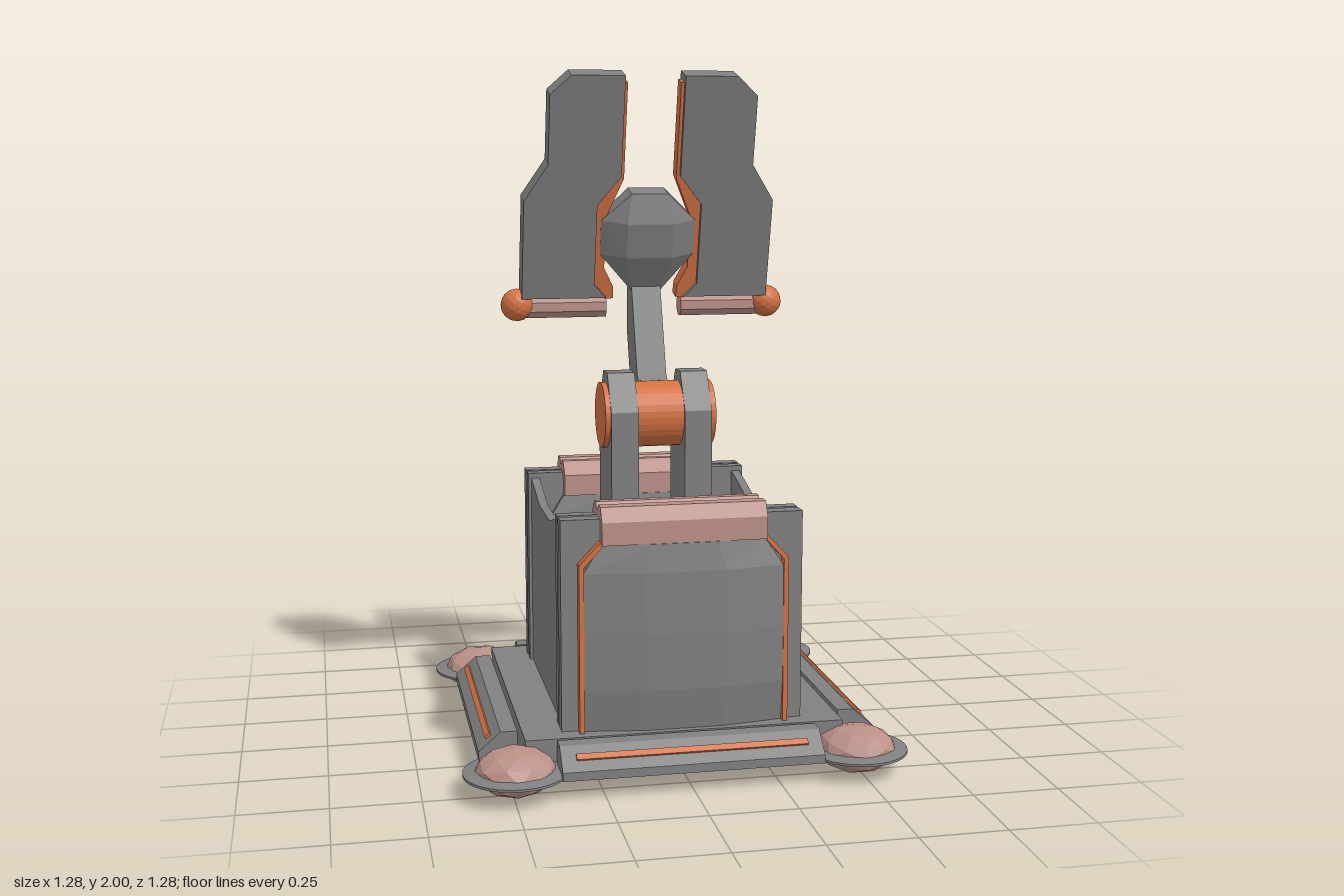
import * as THREE from 'three';
import { ConvexGeometry } from 'three/addons/geometries/ConvexGeometry.js';

const grey = new THREE.MeshStandardMaterial({ color: 0x808080, flatShading: true });
const orange = new THREE.MeshStandardMaterial({ color: 0xd47243, flatShading: true });
const pink = new THREE.MeshStandardMaterial({ color: 0xba9088, flatShading: true });

function add(parent, name, geometry, material, x = 0, y = 0, z = 0) {
  const mesh = new THREE.Mesh(geometry, material);
  mesh.name = name;
  mesh.position.set(x, y, z);
  parent.add(mesh);
  return mesh;
}

function group(parent, name) {
  const g = new THREE.Group();
  g.name = name;
  parent.add(g);
  return g;
}

// Outline in x, y extruded along z, centred on z = 0
function plate(points, depth) {
  const shape = new THREE.Shape(points.map(([x, y]) => new THREE.Vector2(x, y)));
  return new THREE.ExtrudeGeometry(shape, { depth, bevelEnabled: false }).translate(0, 0, -depth / 2);
}

// Outline in z, y extruded along x, centred on x = 0
const sidePlate = (points, width) => plate(points, width).rotateY(-Math.PI / 2);

const box = (w, h, d) => new THREE.BoxGeometry(w, h, d);

// Shield panel bulging on both faces, with narrowed upper corners
function bulgedPanel() {
  const rows = [0.14, 0.26, 0.42, 0.6, 0.68];
  const rowSwell = [0, 0.85, 1, 0.75, 0.15];
  const columns = [-0.288, -0.115, 0.115, 0.288];
  const columnSwell = [0, 1, 1, 0];
  const g = new THREE.BoxGeometry(3, 4, 2, 3, 4, 1);
  const p = g.attributes.position;
  for (let i = 0; i < p.count; i++) {
    const row = Math.round(p.getY(i) + 2);
    const column = Math.round(p.getX(i) + 1.5);
    const depth = 0.058 + 0.02 * rowSwell[row] + 0.027 * columnSwell[column];
    p.setXYZ(i, columns[column] * (row === 4 ? 0.82 : 1), rows[row], Math.sign(p.getZ(i)) * depth);
  }
  return g;
}

function buildBase(model) {
  const base = group(model, 'base');
  add(base, 'basePlate', box(0.92, 0.08, 0.92), grey, 0, 0.1, 0);
  add(base, 'undersidePanel', box(0.85, 0.006, 0.85), grey, 0, 0.059, 0);
  add(base, 'turntable', new THREE.CylinderGeometry(0.225, 0.225, 0.02, 32), grey, 0, 0.15, 0);

  const rail = [[0.472, 0.06], [0.583, 0.06], [0.583, 0.085], [0.52, 0.14], [0.472, 0.14]];
  const rim = [[0, 0.05], [0.1, 0.052], [0.147, 0.061], [0.147, 0.068], [0.1, 0.077], [0, 0.079]]
    .map(([x, y]) => new THREE.Vector2(x, y));
  for (let i = 0; i < 4; i++) {
    const side = group(base, 'baseSide');
    side.rotation.y = i * Math.PI / 2;
    add(side, 'edgeRail', sidePlate(rail, 0.745), grey);
    // Strip lying on the slope of the rail
    add(side, 'railStrip', box(0.66, 0.018, 0.012), orange, 0, 0.115, 0.551).rotation.x = -0.85;
    add(side, 'footRim', new THREE.LatheGeometry(rim, 32), grey, 0.492, 0, 0.492);
    const dome = add(side, 'footDome', new THREE.IcosahedronGeometry(1, 1), pink, 0.492, 0.067, 0.492);
    dome.scale.set(0.116, 0.066, 0.116);
  }
}

function buildHousing(model) {
  const housing = group(model, 'housing');
  const wall = [[-0.31, 0.14], [0.31, 0.14], [0.31, 0.735], [0.2, 0.71], [0.11, 0.686],
    [-0.11, 0.686], [-0.2, 0.71], [-0.31, 0.735]];
  const cap = [[0.44, 0.68], [0.44, 0.745], [0.415, 0.785], [0.375, 0.785], [0.362, 0.768],
    [0.348, 0.768], [0.335, 0.785], [0.31, 0.785], [0.27, 0.745], [0.27, 0.68]];

  for (const s of [1, -1]) add(housing, 'sideWall', sidePlate(wall, 0.026), grey, s * 0.327);

  for (const end of [0, 1]) {
    const face = group(housing, end ? 'backFace' : 'frontFace');
    face.rotation.y = end * Math.PI;
    add(face, 'bulgedPanel', bulgedPanel(), grey, 0, 0, 0.355);
    add(face, 'padCap', sidePlate(cap, 0.475), pink);
    for (const s of [1, -1]) {
      // Grooved corner post
      add(face, 'postOuter', box(0.115, 0.61, 0.045), grey, s * 0.292, 0.445, 0.382);
      add(face, 'postCore', box(0.11, 0.605, 0.03), grey, s * 0.285, 0.4425, 0.35);
      add(face, 'postInner', box(0.115, 0.61, 0.038), grey, s * 0.292, 0.445, 0.325);
      // Coloured border of the panel
      const trim = [[0.302, 0.14], [0.302, 0.625], [0.24, 0.69], [0.232, 0.68], [0.288, 0.618], [0.288, 0.14]];
      add(face, 'panelTrim', plate(trim.map(([x, y]) => [x * s, y]), 0.031), orange, 0, 0, 0.4185);
    }
  }
}

function buildArm(model) {
  const arm = group(model, 'arm');
  const bracket = [[-0.107, 0.15], [0.107, 0.15], [0.107, 1.0], [0.035, 1.11], [-0.035, 1.11], [-0.107, 1.0]];
  for (const s of [1, -1]) add(arm, 'hingeBracket', sidePlate(bracket, 0.082), grey, s * 0.111);

  const pin = new THREE.CylinderGeometry(0.099, 0.099, 0.335, 32).rotateZ(Math.PI / 2);
  add(arm, 'hingePin', pin, orange, 0, 0.98, 0);

  const link = [[0, 0.95], [0, 1.05], [-0.05, 1.09], [-0.145, 1.36], [-0.22, 1.345],
    [-0.218, 1.2], [-0.18, 1.09], [-0.09, 1.03]];
  add(arm, 'bentLink', sidePlate(link, 0.09), grey);
}

function buildHead(model) {
  const head = group(model, 'head');
  head.position.set(0, 1.3, -0.196);
  head.rotation.x = 0.25;

  // Faceted core: rectangular ends and two octagonal rings between them
  const core = [];
  for (const sx of [1, -1]) for (const sz of [1, -1]) {
    for (const [x, y, z] of [[0.045, 0.05, 0.035], [0.145, 0.165, 0.026], [0.07, 0.165, 0.072],
      [0.145, 0.27, 0.026], [0.07, 0.27, 0.07], [0.056, 0.355, 0.036]]) {
      core.push(new THREE.Vector3(sx * x, y, sz * z));
    }
  }
  add(head, 'core', new ConvexGeometry(core), grey);

  const wing = [[0.09, 0.713], [0.25, 0.713], [0.312, 0.655], [0.312, 0.445], [0.382, 0.335], [0.382, 0.028],
    [0.122, 0.028], [0.16, 0.07], [0.16, 0.32], [0.09, 0.41]];
  const trim = [[0.092, 0.69], [0.092, 0.41], [0.162, 0.32], [0.162, 0.068], [0.124, 0.022],
    [0.098, 0.022], [0.1, 0.06], [0.13, 0.12], [0.13, 0.28], [0.08, 0.4], [0.08, 0.69]];
  const rod = new THREE.CylinderGeometry(0.036, 0.036, 0.28, 8).rotateZ(Math.PI / 2).rotateX(Math.PI / 8 - 0.25);
  for (const s of [1, -1]) {
    const side = group(head, s > 0 ? 'leftWing' : 'rightWing');
    const mirror = (points) => points.map(([x, y]) => [x * s, y]);
    add(side, 'wingPlate', plate(mirror(wing), 0.077), grey);
    add(side, 'wingTrim', plate(mirror(trim), 0.05), orange);
    add(side, 'wingRod', rod, pink, s * 0.257, -0.013, -0.008);
    add(side, 'rodBall', new THREE.IcosahedronGeometry(0.05, 2), orange, s * 0.392, -0.003, 0);
  }
}

export function createModel() {
  const model = new THREE.Group();
  model.name = 'turret';
  buildBase(model);
  buildHousing(model);
  buildArm(model);
  buildHead(model);
  return model;
}
